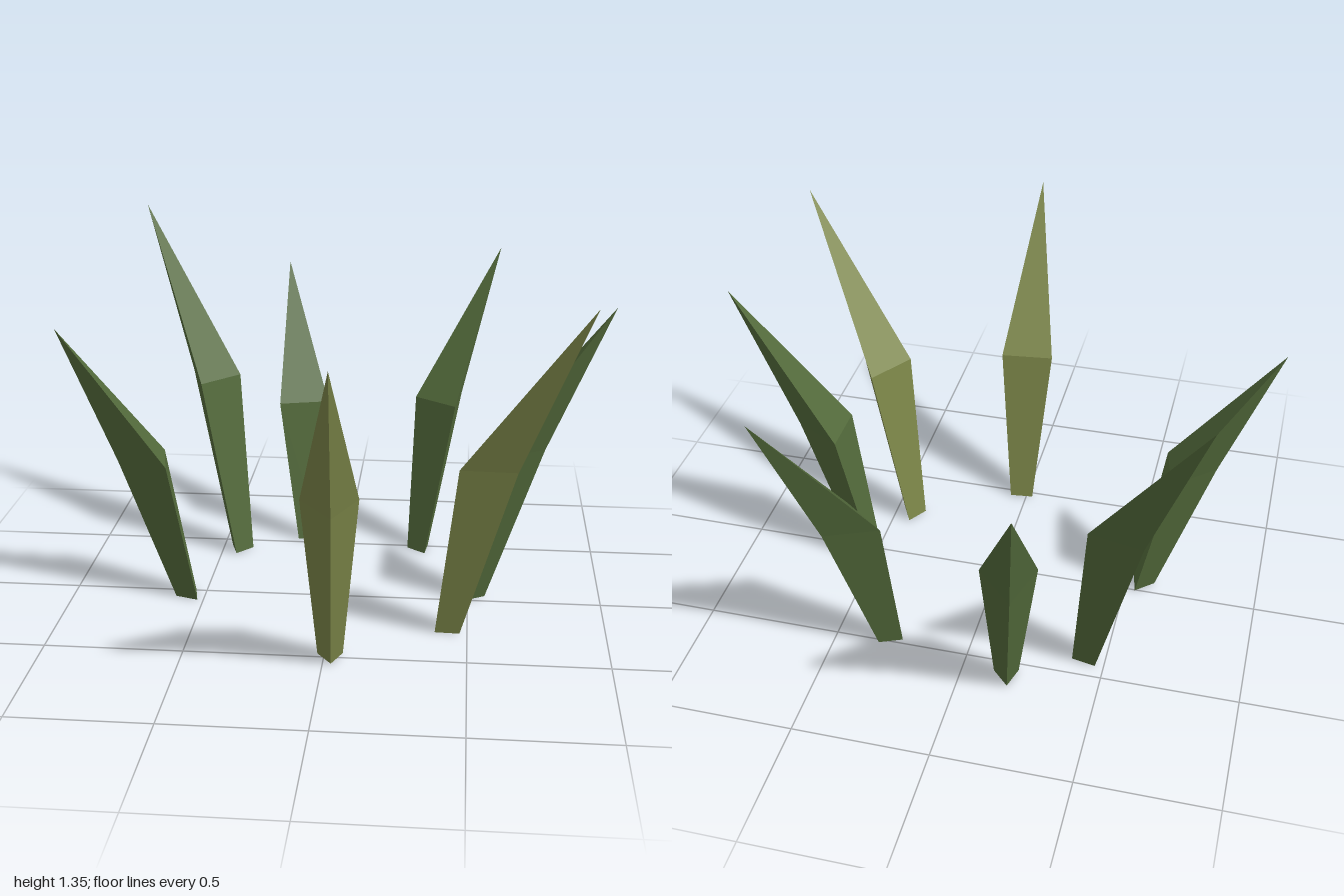
import * as THREE from 'three';

const leafGreen = new THREE.MeshStandardMaterial({ color: 0x536a3b, flatShading: true });
leafGreen.name = 'leafGreen';
const oliveGreen = new THREE.MeshStandardMaterial({ color: 0x7b8548, flatShading: true });
oliveGreen.name = 'oliveGreen';

// Equilateral triangle ring: flat edge centred on (x, z), third corner pointing outward at the facing angle
function ring(x, y, z, width, angle) {
  const nx = Math.sin(angle), nz = Math.cos(angle), h = width / 2, depth = width * 0.866;
  return [
    [x - nz * h, y, z + nx * h],
    [x + nz * h, y, z - nx * h],
    [x + nx * depth, y, z + nz * depth],
  ];
}

// Three-sided blade: narrow base, wide middle, sharp tip
function bladeGeometry({ face, base, mid, tip }) {
  const angle = THREE.MathUtils.degToRad(face);
  const low = ring(base[0], 0, base[1], 0.09, angle);
  const high = ring(...mid, 0.2, angle);
  const tris = [low[0], low[1], low[2]];
  for (let i = 0; i < 3; i++) {
    const j = (i + 1) % 3;
    tris.push(low[i], high[i], high[j], low[i], high[j], low[j]);
    tris.push(high[i], tip, high[j]);
  }
  const geometry = new THREE.BufferGeometry();
  geometry.setAttribute('position', new THREE.Float32BufferAttribute(tris.flat(), 3));
  geometry.computeVertexNormals();
  return geometry;
}

// Facing angle in degrees, base [x, z], bend and tip [x, y, z]
const blades = [
  { name: 'frontBlade', mat: oliveGreen, face: 6.6, base: [0.02, 0.47], mid: [0.028, 0.625, 0.578], tip: [0.063, 1.195, 0.99] },
  { name: 'frontLeftBlade', mat: oliveGreen, face: 57.5, base: [0.407, 0.238], mid: [0.51, 0.67, 0.3], tip: [0.885, 1.285, 0.535] },
  { name: 'leftBlade', mat: leafGreen, face: 90, base: [0.487, -0.043], mid: [0.595, 0.6, -0.042], tip: [1, 1.145, -0.042] },
  { name: 'backLeftBlade', mat: leafGreen, face: 143, base: [0.288, -0.453], mid: [0.353, 0.615, -0.538], tip: [0.602, 1.18, -0.862] },
  { name: 'backBlade', mat: leafGreen, face: 194.5, base: [-0.16, -0.543], mid: [-0.188, 0.565, -0.635], tip: [-0.283, 1.075, -1] },
  { name: 'backRightBlade', mat: leafGreen, face: 228, base: [-0.41, -0.393], mid: [-0.505, 0.705, -0.478], tip: [-0.842, 1.347, -0.79] },
  { name: 'rightBlade', mat: leafGreen, face: 282, base: [-0.532, 0.041], mid: [-0.63, 0.56, 0.062], tip: [-1, 1.065, 0.127] },
];

export function createModel() {
  const group = new THREE.Group();
  group.name = 'grassTuft';
  for (const blade of blades) {
    const mesh = new THREE.Mesh(bladeGeometry(blade), blade.mat);
    mesh.name = blade.name;
    group.add(mesh);
  }
  return group;
}
